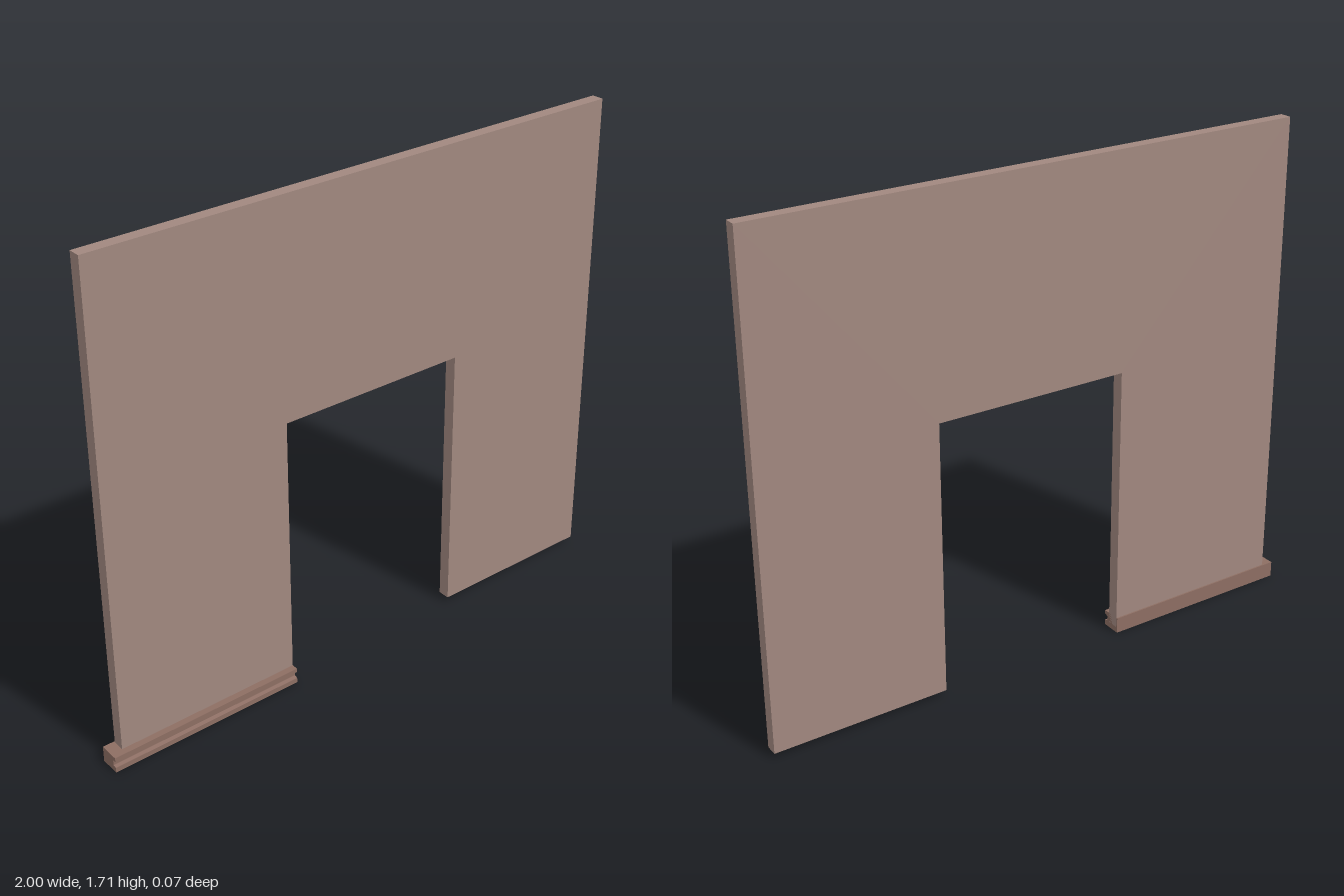
import * as THREE from 'three';

// Extruded solid from an outline of [x, y] points
function extrude(points, depth, color, name) {
  const shape = new THREE.Shape(points.map(([x, y]) => new THREE.Vector2(x, y)));
  const geometry = new THREE.ExtrudeGeometry(shape, { depth, bevelEnabled: false });
  const mesh = new THREE.Mesh(geometry, new THREE.MeshStandardMaterial({ color, flatShading: true }));
  mesh.name = name;
  return mesh;
}

export function createModel() {
  const group = new THREE.Group();
  group.name = 'wallWithDoorway';

  // Wall panel with a doorway open at the bottom
  const wall = extrude([
    [-0.96, 0.02], [-0.3, 0.02], [-0.3, 0.97], [0.385, 0.97],
    [0.385, 0.02], [1, 0.02], [1, 1.71], [-0.96, 1.71],
  ], 0.042, 0xa1887f, 'wall');
  wall.position.z = -0.03;
  group.add(wall);

  // Base rail: flat back, groove along the front (profile in z, y, run along x)
  const rail = extrude([
    [-0.035, 0], [0.035, 0], [0.035, 0.018], [0.022, 0.021],
    [0.022, 0.039], [0.035, 0.042], [0.035, 0.056], [-0.035, 0.056],
  ], 0.7, 0x8d6e63, 'baseRail');
  rail.rotation.y = -Math.PI / 2;
  rail.position.x = -0.3;
  // Mirror the profile so that the groove faces +z
  rail.geometry.rotateY(0);
  group.add(rail);

  return group;
}
